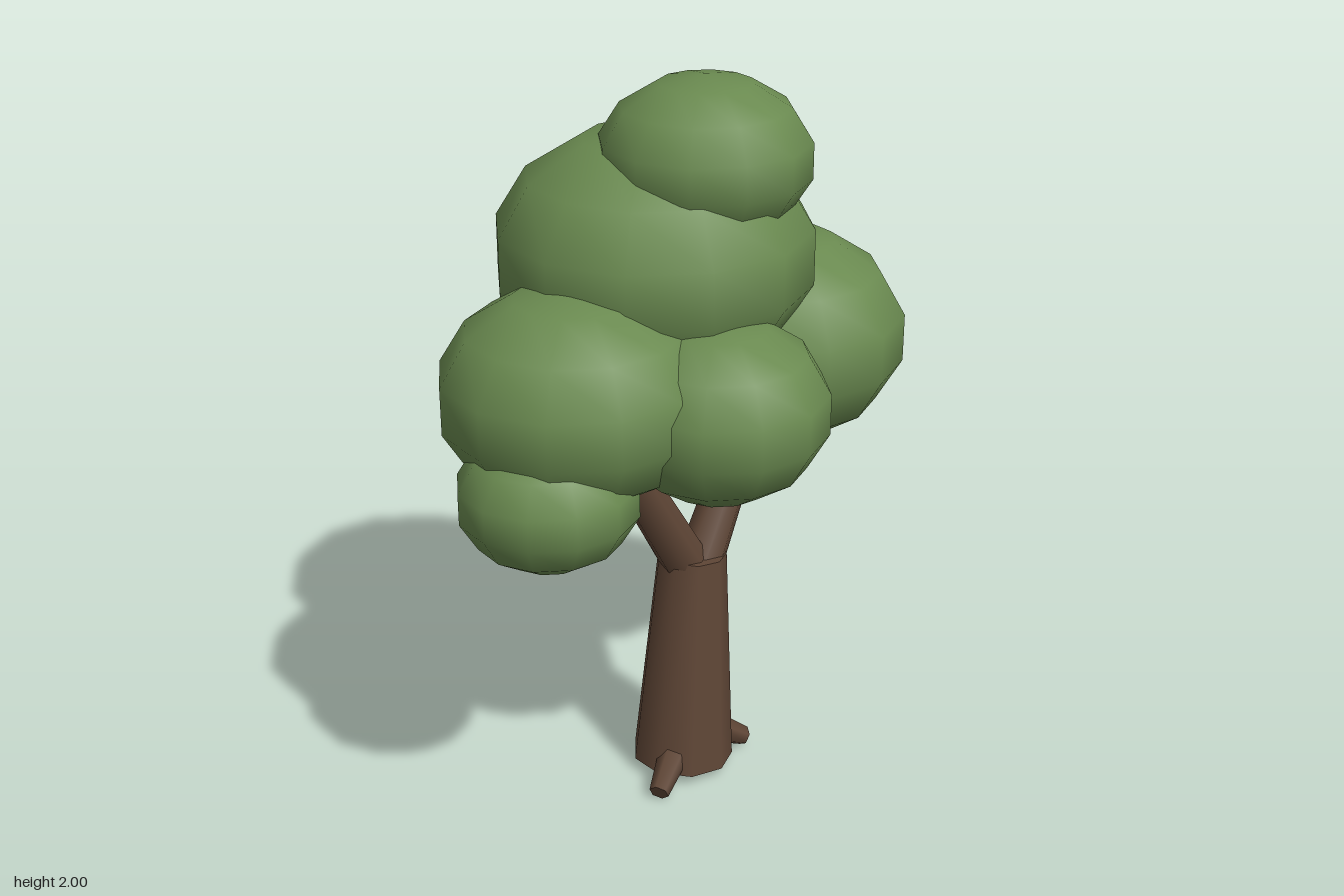
import * as THREE from 'three';

const bark = new THREE.MeshStandardMaterial({ color: 0x5f4636 });
bark.name = 'bark brown';
const leaf = new THREE.MeshStandardMaterial({ color: 0x6a8a50 });
leaf.name = 'leaf green';

// Tapered limb running from one point to another
function limb(name, from, to, r0, r1, sides) {
  const a = new THREE.Vector3(...from), b = new THREE.Vector3(...to);
  const dir = b.clone().sub(a);
  const mesh = new THREE.Mesh(new THREE.CylinderGeometry(r1, r0, dir.length(), sides), bark);
  mesh.position.copy(a).add(b).multiplyScalar(0.5);
  mesh.quaternion.setFromUnitVectors(new THREE.Vector3(0, 1, 0), dir.normalize());
  mesh.name = name;
  return mesh;
}

// Flattened leaf clump: centre, horizontal radius, vertical radius
function clump(name, centre, r, ry) {
  const mesh = new THREE.Mesh(new THREE.SphereGeometry(1, 12, 7), leaf);
  mesh.position.set(...centre);
  mesh.scale.set(r, ry, r);
  mesh.name = name;
  return mesh;
}

export function createModel() {
  const tree = new THREE.Group();
  tree.name = 'tree';

  // Leaning trunk, forked branches and stubby roots
  tree.add(
    limb('trunk', [-0.018, 0.03, 0.04], [0.023, 0.66, 0.04], 0.143, 0.096, 9),
    limb('rightBranch', [0.01, 0.62, 0.04], [-0.235, 1.03, 0.01], 0.066, 0.053, 8),
    limb('leftBranch', [0.035, 0.62, 0.055], [0.265, 1.02, 0.06], 0.066, 0.05, 8),
    limb('rightRoot', [-0.09, 0.09, 0.075], [-0.22, 0.03, 0.12], 0.046, 0.028, 6),
    limb('leftRoot', [0.06, 0.09, 0.085], [0.155, 0.03, 0.13], 0.046, 0.028, 6),
  );

  // Overlapping leaf clumps of the crown
  const crown = new THREE.Group();
  crown.name = 'crown';
  crown.add(
    clump('topClump', [0.02, 1.79, 0.08], 0.278, 0.21),
    clump('mainClump', [-0.025, 1.53, -0.05], 0.425, 0.33),
    clump('rightClump', [-0.38, 1.26, -0.01], 0.356, 0.28),
    clump('leftClump', [0.35, 1.22, 0.07], 0.358, 0.295),
    clump('frontClump', [-0.155, 1.217, 0.265], 0.288, 0.24),
    clump('backClump', [0.145, 1.295, -0.22], 0.337, 0.255),
    clump('lowRightClump', [-0.54, 1.05, 0.035], 0.235, 0.187),
    clump('lowLeftClump', [0.54, 1.03, -0.01], 0.23, 0.16),
  );
  tree.add(crown);
  return tree;
}
